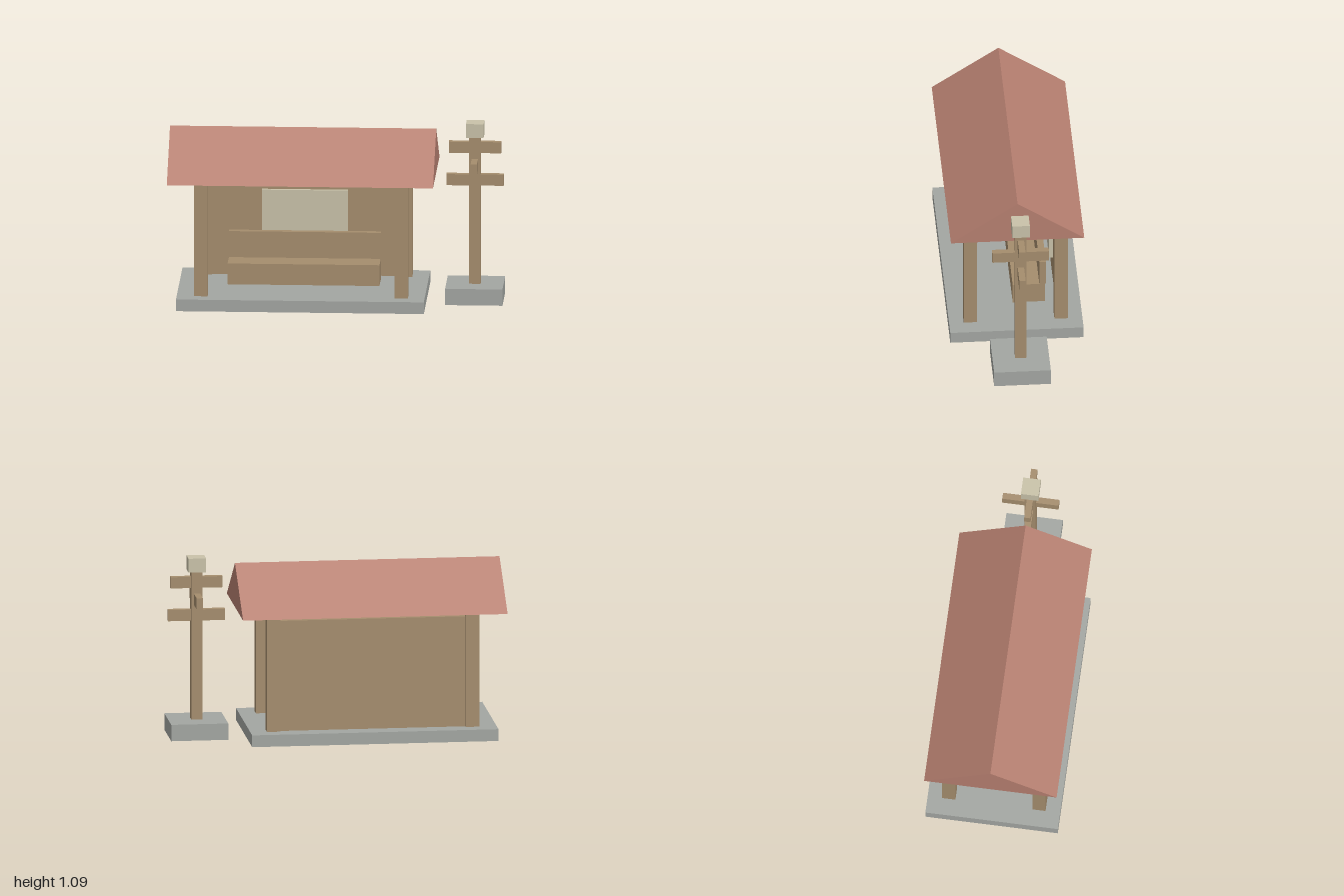
import * as THREE from 'three';

const material = (name, color) => {
  const m = new THREE.MeshStandardMaterial({ color });
  m.name = name;
  return m;
};

export function createModel() {
  const wood = material('wood', 0xa58d6d);
  const stone = material('stone', 0xa3a6a2);
  const tile = material('roof tile', 0xb67f70);
  const cream = material('cream', 0xc9c2a9);

  const group = (name) => {
    const g = new THREE.Group();
    g.name = name;
    return g;
  };
  const model = group('shelterWithSignpost');

  // Box given by its limits on each axis
  const box = (parent, name, mat, [x0, x1], [y0, y1], [z0, z1]) => {
    const mesh = new THREE.Mesh(new THREE.BoxGeometry(x1 - x0, y1 - y0, z1 - z0), mat);
    mesh.position.set((x0 + x1) / 2, (y0 + y1) / 2, (z0 + z1) / 2);
    mesh.name = name;
    parent.add(mesh);
  };

  // Shelter: slab, corner posts, back wall and notice panel
  const shelter = group('shelter');
  model.add(shelter);
  box(shelter, 'slab', stone, [-0.945, 0.54], [0, 0.072], [-0.4, 0.4]);
  for (const x of [-0.8, 0.4]) {
    for (const z of [-0.272, 0.272]) {
      box(shelter, 'post', wood, [x - 0.04, x + 0.04], [0.072, 0.775], [z - 0.04, z + 0.04]);
    }
  }
  box(shelter, 'backWall', wood, [-0.765, 0.365], [0.072, 0.745], [-0.292, -0.252]);
  box(shelter, 'noticePanel', cream, [-0.46, 0.055], [0.245, 0.6], [-0.254, -0.228]);

  // Bench
  const bench = group('bench');
  shelter.add(bench);
  box(bench, 'seat', wood, [-0.655, 0.255], [0.072, 0.2], [-0.19, 0.005]);
  box(bench, 'backrest', wood, [-0.655, 0.255], [0.2, 0.36], [-0.195, -0.155]);

  // Gable roof: closed triangular prism along x
  const gable = new THREE.Shape([
    new THREE.Vector2(-0.4, 0.775),
    new THREE.Vector2(0.4, 0.775),
    new THREE.Vector2(0, 1.045),
  ]);
  const roofGeometry = new THREE.ExtrudeGeometry(gable, { depth: 1.595, bevelEnabled: false });
  roofGeometry.rotateY(Math.PI / 2);
  const roof = new THREE.Mesh(roofGeometry, tile);
  roof.position.x = -1;
  roof.name = 'roof';
  shelter.add(roof);

  // Signpost: footing, pole, crossing arms and cap
  const signpost = group('signpost');
  signpost.position.x = 0.828;
  model.add(signpost);
  box(signpost, 'footing', stone, [-0.172, 0.172], [0, 0.1], [-0.17, 0.17]);
  box(signpost, 'pole', wood, [-0.034, 0.034], [0.1, 1.03], [-0.034, 0.034]);
  box(signpost, 'lowerArm', wood, [-0.172, 0.172], [0.702, 0.77], [-0.019, 0.019]);
  box(signpost, 'middleArm', wood, [-0.019, 0.019], [0.802, 0.87], [-0.17, 0.17]);
  box(signpost, 'upperArm', wood, [-0.157, 0.157], [0.902, 0.97], [-0.019, 0.019]);
  box(signpost, 'cap', cream, [-0.053, 0.053], [1.003, 1.088], [-0.053, 0.053]);

  return model;
}
